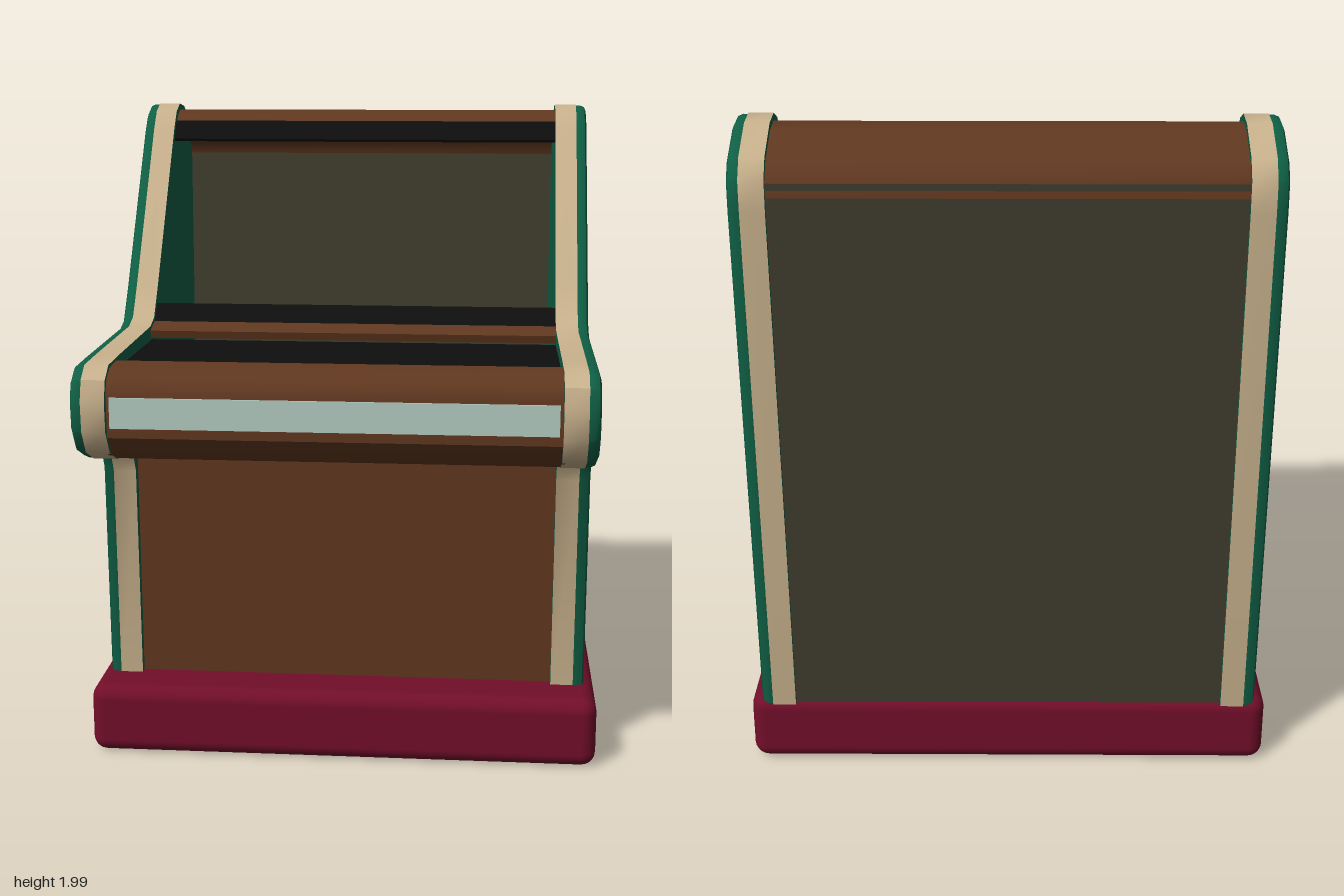
import * as THREE from 'three';
import { toCreasedNormals } from 'three/addons/utils/BufferGeometryUtils.js';
import { RoundedBoxGeometry } from 'three/addons/geometries/RoundedBoxGeometry.js';

const mat = (name, color, side = THREE.FrontSide) => {
  const m = new THREE.MeshStandardMaterial({ color, side });
  m.name = name;
  return m;
};

export function createModel() {
  const group = new THREE.Group();
  const green = mat('green', 0x0f5f45);
  const cream = mat('cream', 0xc8b18c);
  const brown = mat('brown', 0x613820);
  const maroon = mat('maroon', 0x720e2a);
  const olive = mat('olive', 0x403e2e);
  const black = mat('black', 0x0e0e0e);
  const silver = mat('silver', 0xb4cdc3);

  const add = (name, geometry, material, parent = group) => {
    const mesh = new THREE.Mesh(geometry, material);
    mesh.name = name;
    parent.add(mesh);
    return mesh;
  };

  // Extrudes a (z, y) outline along x, centred on x = centre
  const across = (points, width, centre = 0, bevel = 0, inset = 0) => {
    const shape = new THREE.Shape(points.map(([z, y]) => new THREE.Vector2(z, y)));
    const geo = new THREE.ExtrudeGeometry(shape, {
      depth: width - 2 * bevel, bevelEnabled: bevel > 0, bevelThickness: bevel,
      bevelSize: bevel, bevelOffset: -bevel - inset, bevelSegments: 2,
    });
    geo.rotateY(-Math.PI / 2).translate(centre + width / 2 - bevel, 0, 0);
    return toCreasedNormals(geo, 0.6);
  };

  // A bar between two (z, y) points, running across x or lying on a side
  const bar = (name, [z0, y0], [z1, y1], x, width, thick, material, parent) => {
    const length = Math.hypot(z1 - z0, y1 - y0);
    const mesh = add(name, new THREE.BoxGeometry(width, thick, length), material, parent);
    mesh.position.set(x, (y0 + y1) / 2, (z0 + z1) / 2);
    mesh.rotation.x = -Math.atan2(y1 - y0, z1 - z0);
    return mesh;
  };

  // Base plinth
  add('base', new RoundedBoxGeometry(1.58, 0.22, 1.19, 3, 0.045), maroon)
    .position.set(0, 0.12, -0.095);

  // Side walls with cream edging and bordered decoration
  const outline = [
    [0.36, 0.21], [0.375, 0.9], [0.40, 0.95], [0.46, 0.975], [0.62, 1.0], [0.71, 1.04],
    [0.755, 1.11], [0.76, 1.2], [0.74, 1.26], [0.69, 1.295], [0.55, 1.3], [0.1, 1.31],
    [0.04, 1.33], [-0.03, 1.42], [-0.38, 1.92], [-0.43, 1.975], [-0.49, 2.0],
    [-0.57, 1.99], [-0.69, 1.925], [-0.73, 1.87], [-0.735, 1.78], [-0.69, 0.21],
  ];
  const borders = [
    [[0.17, 0.36], [0.17, 1.01], [-0.07, 1.2], [-0.54, 0.52], [-0.54, 0.36]],
    [[-0.12, 1.24], [-0.49, 1.82], [-0.53, 1.84], [-0.58, 1.8], [-0.565, 0.63]],
  ];
  for (const s of [1, -1]) {
    const side = new THREE.Group();
    side.name = s > 0 ? 'leftSide' : 'rightSide';
    group.add(side);
    add('edgedWall', across(outline, 0.07, s * 0.685), [green, cream], side);
    add('outerPanel', across(outline, 0.065, s * 0.722, 0.02, 0.003), green, side);
    for (const loop of borders) {
      loop.forEach((p, i) => bar('border', p, loop[(i + 1) % loop.length],
        s * 0.755, 0.012, 0.028, cream, side));
    }
  }

  const W = 1.32;

  // Lower front and whole back
  bar('frontPanel', [0.325, 0.2], [0.335, 1.0], 0, W, 0.02, brown);
  bar('backPanel', [-0.67, 0.2], [-0.715, 1.86], 0, W, 0.016, olive);

  // Rounded shelf front with its underside
  add('shelfFront', across([
    [0.33, 0.95], [0.46, 0.985], [0.61, 1.0], [0.69, 1.03], [0.735, 1.09], [0.74, 1.22],
    [0.72, 1.26], [0.68, 1.285], [0.59, 1.29], [0.59, 1.05], [0.33, 1.0],
  ], W), brown);
  add('lightStrip', new THREE.BoxGeometry(1.28, 0.09, 0.008), silver)
    .position.set(0, 1.165, 0.742);

  // Deck and the strip behind it
  add('deck', new THREE.BoxGeometry(W, 0.02, 0.52), black).position.set(0, 1.255, 0.34);
  bar('deckStrip', [0.1, 1.285], [0.03, 1.305], 0, W, 0.025, brown);

  // Frame lips above and below the opening
  bar('lowerLip', [0.035, 1.3], [-0.02, 1.365], 0, W, 0.015, black);
  bar('upperLip', [-0.385, 1.88], [-0.43, 1.94], 0, W, 0.015, black);

  // Curved top cover
  add('topCover', across([
    [-0.42, 1.92], [-0.45, 1.96], [-0.5, 1.98], [-0.57, 1.97], [-0.68, 1.91],
    [-0.72, 1.86], [-0.725, 1.82], [-0.70, 1.82], [-0.69, 1.85], [-0.65, 1.885],
    [-0.56, 1.94], [-0.48, 1.94], [-0.44, 1.9],
  ].reverse(), W), brown);

  return group;
}
